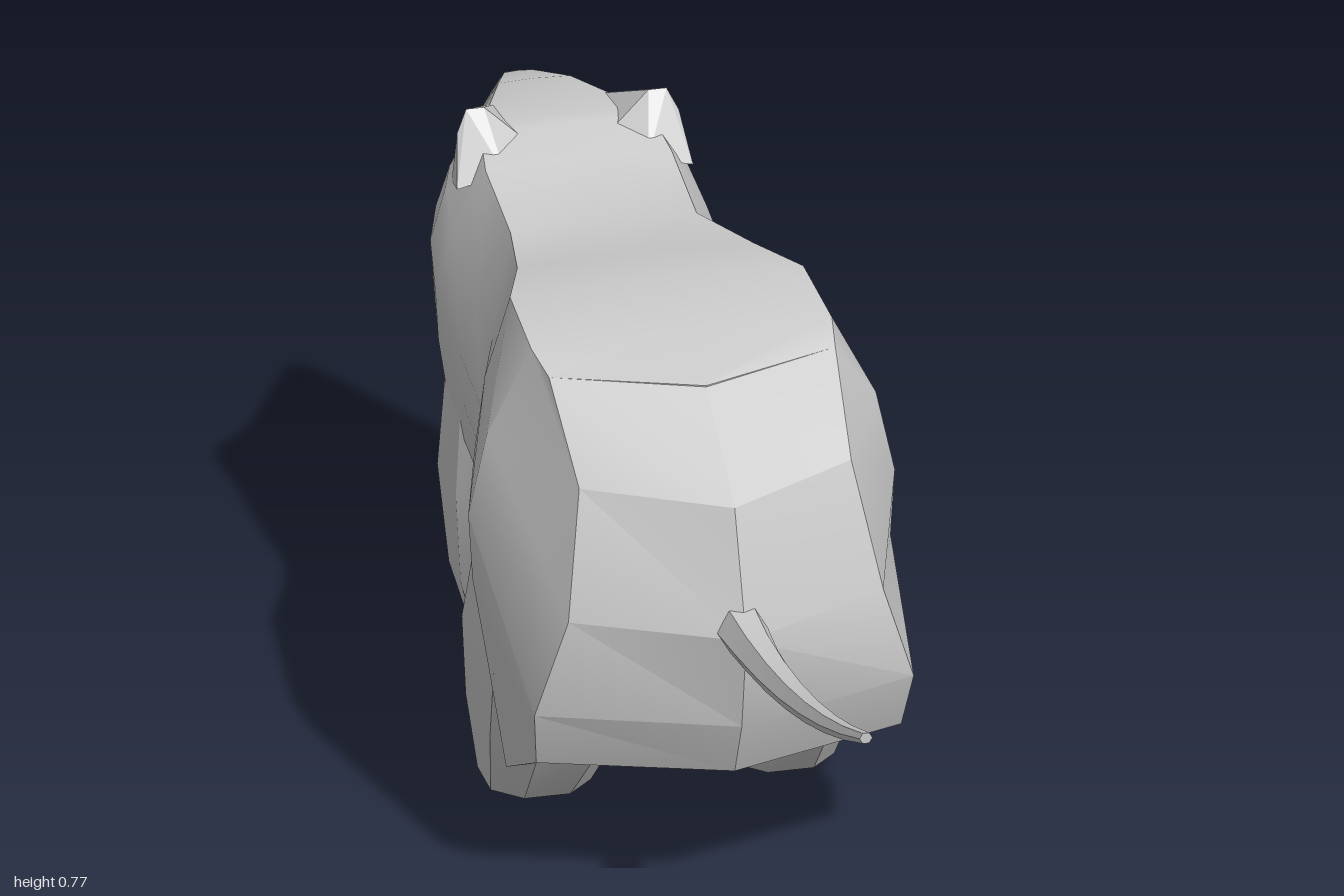
import * as THREE from 'three';
import { toCreasedNormals } from 'three/addons/utils/BufferGeometryUtils.js';
import { ConvexGeometry } from 'three/addons/geometries/ConvexGeometry.js';

const { lerp } = THREE.MathUtils;
const material = new THREE.MeshStandardMaterial({ color: 0xcccccc });

// Skin closed rings of [x, y, z] points, capping both ends
function loft(rings) {
  const pos = [];
  const same = (p, q) => p.every((v, k) => Math.abs(v - q[k]) < 1e-6);
  const tri = (a, b, c) => {
    if (!same(a, b) && !same(b, c) && !same(c, a)) pos.push(...a, ...b, ...c);
  };
  const centre = r => [0, 1, 2].map(k => r.reduce((s, p) => s + p[k], 0) / r.length);
  const n = rings[0].length, first = rings[0], last = rings[rings.length - 1];
  const c0 = centre(first), c1 = centre(last);
  for (let j = 0; j < n; j++) {
    const k = (j + 1) % n;
    for (let i = 0; i + 1 < rings.length; i++) {
      const r = rings[i], q = rings[i + 1];
      tri(r[j], q[j], r[k]);
      tri(r[k], q[j], q[k]);
    }
    tri(c0, first[j], first[k]);
    tri(c1, last[k], last[j]);
  }
  const g = new THREE.BufferGeometry();
  g.setAttribute('position', new THREE.Float32BufferAttribute(pos, 3));
  return toCreasedNormals(g, 0.45);
}

// Complete a half outline (top centre to bottom centre) with its mirror image
const mirrorRing = half => [...half, ...half.slice(1, -1).reverse().map(([x, y, z]) => [-x, y, z])];

// Body section: flat back, bulging flanks, narrower belly
function section([z, top, backW, flankW, bottom, bellyW]) {
  const y = t => lerp(bottom, top, t);
  return mirrorRing([
    [0, top, z], [backW, y(.99), z], [lerp(backW, flankW, .7), y(.78), z], [flankW, y(.57), z],
    [flankW * .98, y(.4), z], [flankW * .91, y(.18), z], [bellyW, bottom, z], [0, bottom, z],
  ]);
}

// Leg section with bevelled corners
function legRing(side, [y, x0, x1, z0, z1]) {
  const bx = (x1 - x0) * 0.27, bz = (z1 - z0) * 0.25;
  const ring = [
    [x1, z0 + bz], [x1 - bx, z0], [x0 + bx, z0], [x0, z0 + bz],
    [x0, z1 - bz], [x0 + bx, z1], [x1 - bx, z1], [x1, z1 - bz],
  ].map(([x, z]) => [side * x, y, z]);
  return side < 0 ? ring.reverse() : ring;
}

// Six-sided tail section, t from root to tip
function tailRing(t) {
  const r = lerp(.037, .009, Math.pow(t, .7));
  const y = .435 + .163 * Math.pow(t, 1.8);
  return Array.from({ length: 6 }, (_, i) => {
    const a = (i + .5) * Math.PI / 3;
    return [r * Math.sin(a), y + r * Math.cos(a), lerp(.28, 1, t)];
  });
}

export function createModel() {
  const model = new THREE.Group();
  const add = (name, geometry) => {
    const mesh = new THREE.Mesh(geometry, material);
    mesh.name = name;
    model.add(mesh);
  };

  // Head and trunk: z, top, back half width, flank half width, bottom, belly half width
  const stations = [
    [-1, .672, .01, .02, .62, .01],
    [-.96, .692, .02, .045, .57, .025],
    [-.87, .722, .05, .09, .53, .05],
    [-.72, .74, .11, .175, .46, .11],
    [-.69, .738, .12, .19, .38, .1],
    [-.62, .718, .13, .2, .3, .11],
    [-.48, .69, .13, .2, .27, .12],
    [-.3, .725, .165, .215, .24, .12],
    [-.18, .742, .205, .255, .2, .15],
    [-.04, .73, .21, .298, .16, .25],
  ];
  // Rump: x, y and z of its edge, then z of the central ridge it folds back to
  const rump = [
    [0, .71, .1, .1], [.2, .708, .02, .1], [.19, .6, .15, .26], [.22, .43, .21, .325],
    [.265, .29, .2, .3], [.255, .205, .17, .26], [.255, .12, 0, 0], [0, .12, 0, 0],
  ];
  add('body', loft([
    ...stations.map(section),
    mirrorRing(rump.map(([x, y, z]) => [x, y, z])),
    mirrorRing(rump.map(([, y, , z]) => [0, y, z])),
  ]));

  // Legs from hip to foot: y, inner x, outer x, front z, back z
  const hind = [[.4, .1, .25, -.24, 0], [.25, .06, .265, -.3, .06], [.13, .065, .258, -.285, -.01],
    [.015, .1, .24, -.26, -.11], [0, .13, .2, -.235, -.14]];
  const fore = [[.5, .08, .18, -.66, -.5], [.27, .07, .192, -.695, -.485],
    [.13, .09, .18, -.66, -.525], [.07, .105, .165, -.61, -.54]];
  const ear = [[.06, .725, -.68], [.155, .745, -.68], [.115, .775, -.69], [.14, .775, -.69],
    [.16, .67, -.69], [.1, .7, -.63], [.165, .68, -.64], [.055, .7, -.85], [.08, .67, -.85]];
  for (const [side, label] of [[1, 'left'], [-1, 'right']]) {
    add(label + 'HindLeg', loft(hind.map(r => legRing(side, r))));
    add(label + 'ForeLeg', loft(fore.map(r => legRing(side, r))));
    add(label + 'Ear', new ConvexGeometry(ear.map(([x, y, z]) => new THREE.Vector3(side * x, y, z))));
  }

  add('tail', loft(Array.from({ length: 8 }, (_, i) => tailRing(i / 7))));

  return model;
}
